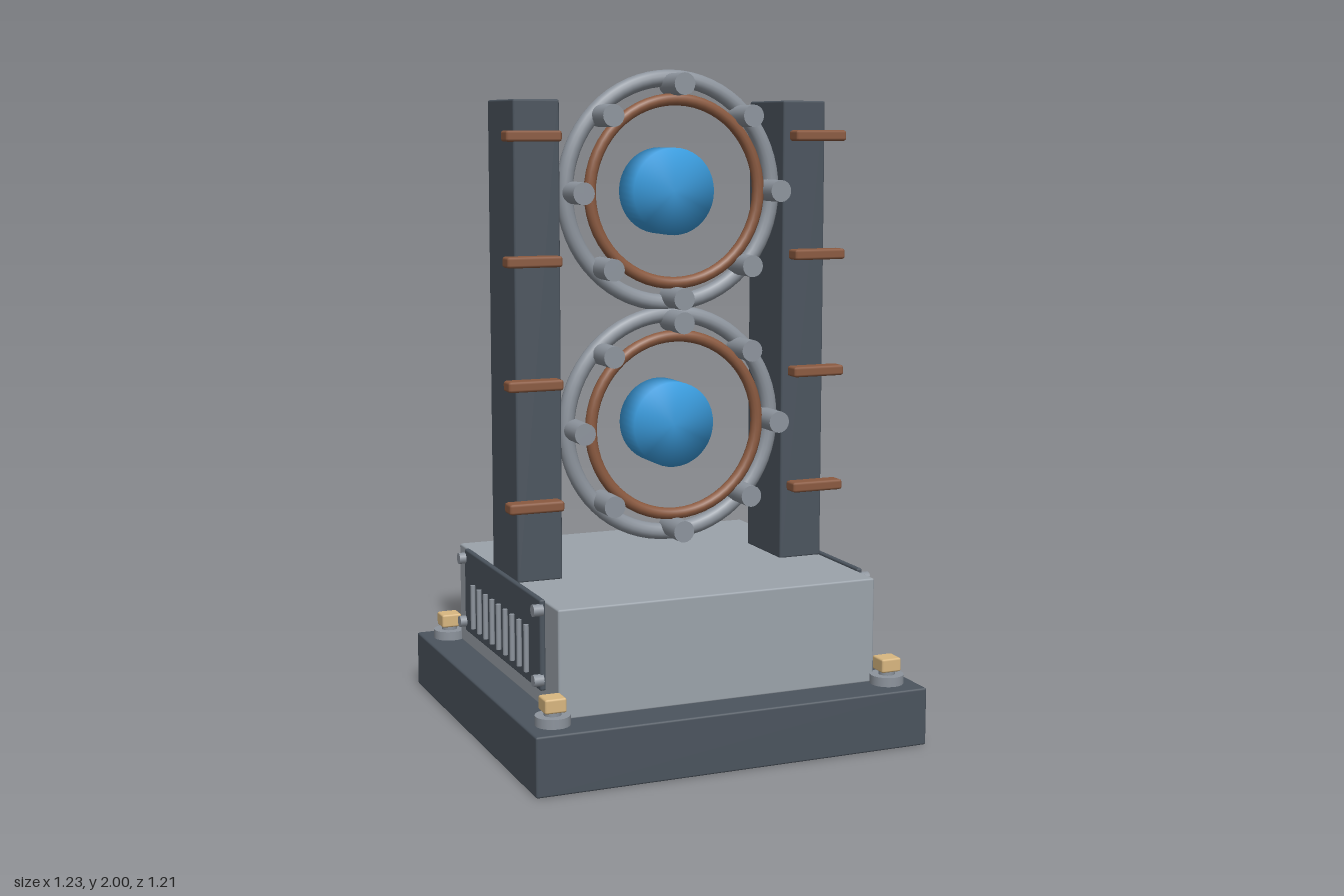
import * as THREE from 'three';
import { mergeVertices } from 'three/addons/utils/BufferGeometryUtils.js';
import { RoundedBoxGeometry } from 'three/addons/geometries/RoundedBoxGeometry.js';

const mat = (color) => new THREE.MeshStandardMaterial({ color });

export function createModel() {
  const model = new THREE.Group();
  const dark = mat(0x4b545e), light = mat(0x9ba3ab), steel = mat(0x8d949d);
  const copper = mat(0x8b5a40), blue = mat(0x3a9bdc), brass = mat(0xd9b780);

  const add = (name, geometry, material, x, y, z, parent = model) => {
    const mesh = new THREE.Mesh(geometry, material);
    mesh.name = name;
    mesh.position.set(x, y, z);
    parent.add(mesh);
    return mesh;
  };
  const box = (w, h, d, r = 0.006) => new RoundedBoxGeometry(w, h, d, 1, r);
  const rodZ = (r, l, n = 20) => new THREE.CylinderGeometry(r, r, l, n).rotateX(Math.PI / 2);
  const rodX = (r, l, n = 12) => new THREE.CylinderGeometry(r, r, l, n).rotateZ(Math.PI / 2);

  // Plinth and housing
  add('base', box(1.23, 0.175, 1.205), dark, 0, 0.0875, 0);
  add('housing', box(1.006, 0.32, 0.95), light, 0, 0.332, 0);

  // Soft-shaded disc: shared rim normals make it look swollen
  const disc = rodZ(0.13, 0.12, 40);
  disc.deleteAttribute('normal');
  disc.deleteAttribute('uv');
  const core = mergeVertices(disc);
  core.computeVertexNormals();

  // Two stacked ring assemblies
  const outer = new THREE.TorusGeometry(0.335, 0.025, 14, 64);
  const inner = new THREE.TorusGeometry(0.272, 0.018, 12, 56);
  const stud = rodZ(0.033, 0.12);
  [0.937, 1.64].forEach((y, i) => {
    const ring = new THREE.Group();
    ring.name = i ? 'upperRing' : 'lowerRing';
    ring.position.y = y;
    model.add(ring);
    add('outerRing', outer, steel, 0, 0, 0.085, ring);
    add('innerRing', inner, copper, 0, 0, 0.128, ring);
    add('core', core, blue, 0, 0, 0.06, ring);
    for (let k = 0; k < 8; k++) {
      const a = (k * Math.PI) / 4;
      add('stud', stud, steel, 0.316 * Math.cos(a), 0.316 * Math.sin(a), 0.14, ring);
    }
  });

  // Parts mirrored on both sides
  for (const s of [1, -1]) {
    add('pillar', box(0.142, 1.42, 0.24), dark, s * 0.432, 1.2, 0);
    for (let i = 0; i < 4; i++) {
      add('peg', box(0.17, 0.032, 0.056, 0.008), copper, s * 0.46, 0.725 + i * 0.36, 0.157);
    }

    // Vent panel with bars and corner screws
    add('ventPanel', box(0.018, 0.268, 0.734), dark, s * 0.511, 0.364, 0);
    for (let i = 0; i < 9; i++) {
      add('ventBar', new THREE.CylinderGeometry(0.008, 0.008, 0.14, 10), steel, s * 0.53, 0.335, -0.247 + i * 0.065);
    }
    for (const z of [-0.362, 0.362]) {
      for (const y of [0.262, 0.468]) {
        add('panelScrew', rodX(0.018, 0.03), steel, s * 0.526, y, z);
      }
    }

    // Corner bolts
    for (const z of [-0.507, 0.505]) {
      add('washer', new THREE.CylinderGeometry(0.051, 0.051, 0.03, 20), steel, s * 0.532, 0.188, z);
      add('boltShank', new THREE.CylinderGeometry(0.025, 0.025, 0.03, 16), steel, s * 0.532, 0.208, z);
      add('boltHead', box(0.065, 0.042, 0.063), brass, s * 0.532, 0.235, z);
    }
  }
  return model;
}
